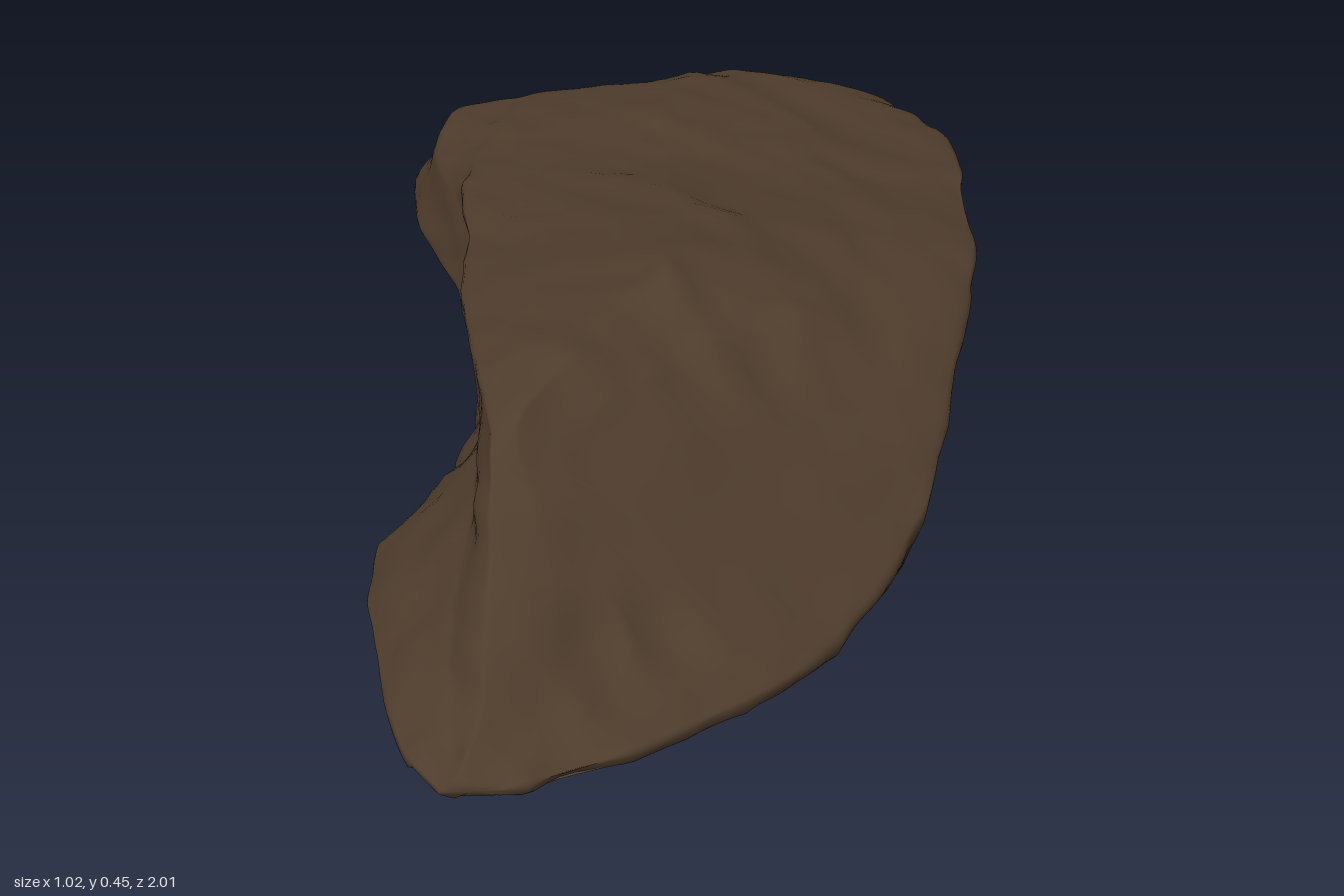
import * as THREE from 'three';

// Stations run from the low front tip (z = 1) to the blunt back end (z = -1)
const Z = [1, 0.92, 0.75, 0.6, 0.44, 0.25, 0, -0.3, -0.52, -0.76, -0.89, -0.98];

// Long edges of the rock, one value per station
const edges = {
  floorLeftX:  [-0.27, -0.32, -0.37, -0.4, -0.4, -0.32, -0.29, -0.34, -0.43, -0.44, -0.18, -0.02],
  floorLeftY:  [0.01, 0.015, 0.02, 0.025, 0.025, 0.025, 0.03, 0.05, 0.08, 0.085, 0.05, 0.07],
  floorY:      [0.01, 0.008, 0.005, 0.008, 0.012, 0.018, 0.008, 0.008, 0.014, 0.022, 0.03, 0.07],
  leftX:       [-0.29, -0.35, -0.4, -0.44, -0.44, -0.36, -0.33, -0.39, -0.49, -0.51, -0.22, -0.04],
  leftY:       [0.015, 0.025, 0.035, 0.05, 0.05, 0.05, 0.07, 0.12, 0.15, 0.15, 0.11, 0.11],
  grooveX:     [-0.28, -0.28, -0.29, -0.28, -0.28, -0.27, -0.28, -0.36, -0.45, -0.43, -0.18, -0.03],
  grooveY:     [0.02, 0.05, 0.13, 0.2, 0.22, 0.23, 0.24, 0.25, 0.28, 0.29, 0.19, 0.16],
  shoulderX:   [-0.27, -0.24, -0.24, -0.25, -0.28, -0.32, -0.34, -0.37, -0.35, -0.27, -0.1, 0],
  shoulderY:   [0.025, 0.08, 0.21, 0.34, 0.37, 0.365, 0.35, 0.34, 0.335, 0.325, 0.27, 0.2],
  crestX:      [-0.24, -0.17, -0.15, -0.21, -0.12, -0.01, 0, -0.03, -0.05, 0, 0.05, 0.07],
  crestY:      [0.025, 0.055, 0.18, 0.355, 0.41, 0.438, 0.43, 0.38, 0.37, 0.36, 0.32, 0.22],
  edgeX:       [-0.22, -0.11, -0.04, -0.14, 0, 0.22, 0.29, 0.25, 0.23, 0.2, 0.19, 0.14],
  edgeY:       [0.025, 0.04, 0.12, 0.315, 0.37, 0.385, 0.385, 0.37, 0.365, 0.355, 0.315, 0.21],
  rimX:        [-0.2, -0.04, 0.18, 0.29, 0.39, 0.44, 0.49, 0.5, 0.48, 0.39, 0.32, 0.24],
  rimY:        [0.02, 0.025, 0.035, 0.06, 0.14, 0.27, 0.345, 0.345, 0.335, 0.32, 0.27, 0.18],
};

// Nine corner points of the cross-section at one station
function section(i) {
  const e = Object.fromEntries(Object.entries(edges).map(([k, v]) => [k, v[i]]));
  const floorRight = e.rimX - 0.43 * e.rimY;
  return [
    [e.floorLeftX, e.floorLeftY],
    [e.leftX, e.leftY],
    [e.grooveX, e.grooveY],
    [e.shoulderX, e.shoulderY],
    [e.crestX, e.crestY],
    [e.edgeX, e.edgeY],
    [e.rimX, e.rimY],
    [floorRight, e.floorY],
    [(e.floorLeftX + floorRight) / 2, e.floorY],
  ].map(([x, y]) => new THREE.Vector3(x, y, Z[i]));
}

// Smooth seeded value noise, -1 to 1
function hash(x, y, z) {
  const s = Math.sin(x * 127.1 + y * 311.7 + z * 74.7) * 43758.5453;
  return (s - Math.floor(s)) * 2 - 1;
}
function noise(x, y, z) {
  const [ix, iy, iz] = [x, y, z].map(Math.floor);
  const [u, v, w] = [x - ix, y - iy, z - iz].map((t) => t * t * (3 - 2 * t));
  const mix = THREE.MathUtils.lerp;
  const row = (j, k) => mix(hash(ix, iy + j, iz + k), hash(ix + 1, iy + j, iz + k), u);
  return mix(mix(row(0, 0), row(1, 0), v), mix(row(0, 1), row(1, 1), v), w);
}

// Broad lumps, slanting ledges and fine chips; the underside stays flatter
function relief(p, n) {
  const along = p.x * 0.6 + p.z * 0.8;
  const across = p.x * 0.8 - p.z * 0.6;
  const lumps = noise(p.x * 5 + 9, p.y * 7, p.z * 5) * 0.006;
  const ledges = (0.3 - Math.abs(noise(across * 9, p.y * 9 + 4, along * 3))) * 0.016;
  const chips = noise(p.x * 19, p.y * 24, p.z * 17) * 0.005;
  return (lumps + ledges + chips) * (n.y < -0.7 ? 0.3 : 1);
}

function rockGeometry() {
  const rows = 110, cols = 108;
  const sections = Z.map((_, i) => section(i));
  const rails = sections[0].map((_, j) =>
    new THREE.CatmullRomCurve3(sections.map((s) => s[j]), false, 'catmullrom', 0.3));
  const pos = [], index = [];
  for (let i = 0; i <= rows; i++) {
    const corners = rails.map((r) => r.getPoint(i / rows));
    const ring = new THREE.CatmullRomCurve3(corners, true, 'catmullrom', 0.15);
    for (let j = 0; j < cols; j++) pos.push(...ring.getPoint(j / cols).toArray());
  }
  for (let i = 0; i < rows; i++) {
    for (let j = 0; j < cols; j++) {
      const k = (j + 1) % cols;
      const a = i * cols + j, b = i * cols + k, c = a + cols, d = b + cols;
      index.push(a, b, c, b, d, c);
    }
  }
  // Close both ends with slightly domed fans
  for (const [row, front] of [[0, true], [rows, false]]) {
    const centre = new THREE.Vector3();
    const start = row * cols;
    for (let j = 0; j < cols; j++) {
      centre.add(new THREE.Vector3().fromArray(pos, (start + j) * 3).divideScalar(cols));
    }
    const tip = pos.length / 3;
    pos.push(centre.x, centre.y, front ? 1 : -1);
    for (let j = 0; j < cols; j++) {
      const a = start + j, b = start + ((j + 1) % cols);
      index.push(tip, front ? b : a, front ? a : b);
    }
  }
  const geo = new THREE.BufferGeometry();
  geo.setAttribute('position', new THREE.Float32BufferAttribute(pos, 3));
  geo.setIndex(index);
  geo.computeVertexNormals();

  // Roughen the surface along its normals
  const P = geo.attributes.position, N = geo.attributes.normal;
  const p = new THREE.Vector3(), n = new THREE.Vector3();
  for (let i = 0; i < P.count; i++) {
    p.fromBufferAttribute(P, i);
    n.fromBufferAttribute(N, i);
    p.addScaledVector(n, relief(p, n));
    P.setXYZ(i, p.x, p.y, p.z);
  }

  // Centre it and stand it on the ground
  geo.computeBoundingBox();
  const mid = geo.boundingBox.getCenter(new THREE.Vector3());
  geo.translate(-mid.x, -geo.boundingBox.min.y, -mid.z);
  geo.computeVertexNormals();
  return geo;
}

export function createModel() {
  const group = new THREE.Group();
  group.name = 'rock';
  const stone = new THREE.MeshStandardMaterial({ color: 0x4e3c2c });
  stone.name = 'brown stone';
  const boulder = new THREE.Mesh(rockGeometry(), stone);
  boulder.name = 'boulder';
  group.add(boulder);
  return group;
}
